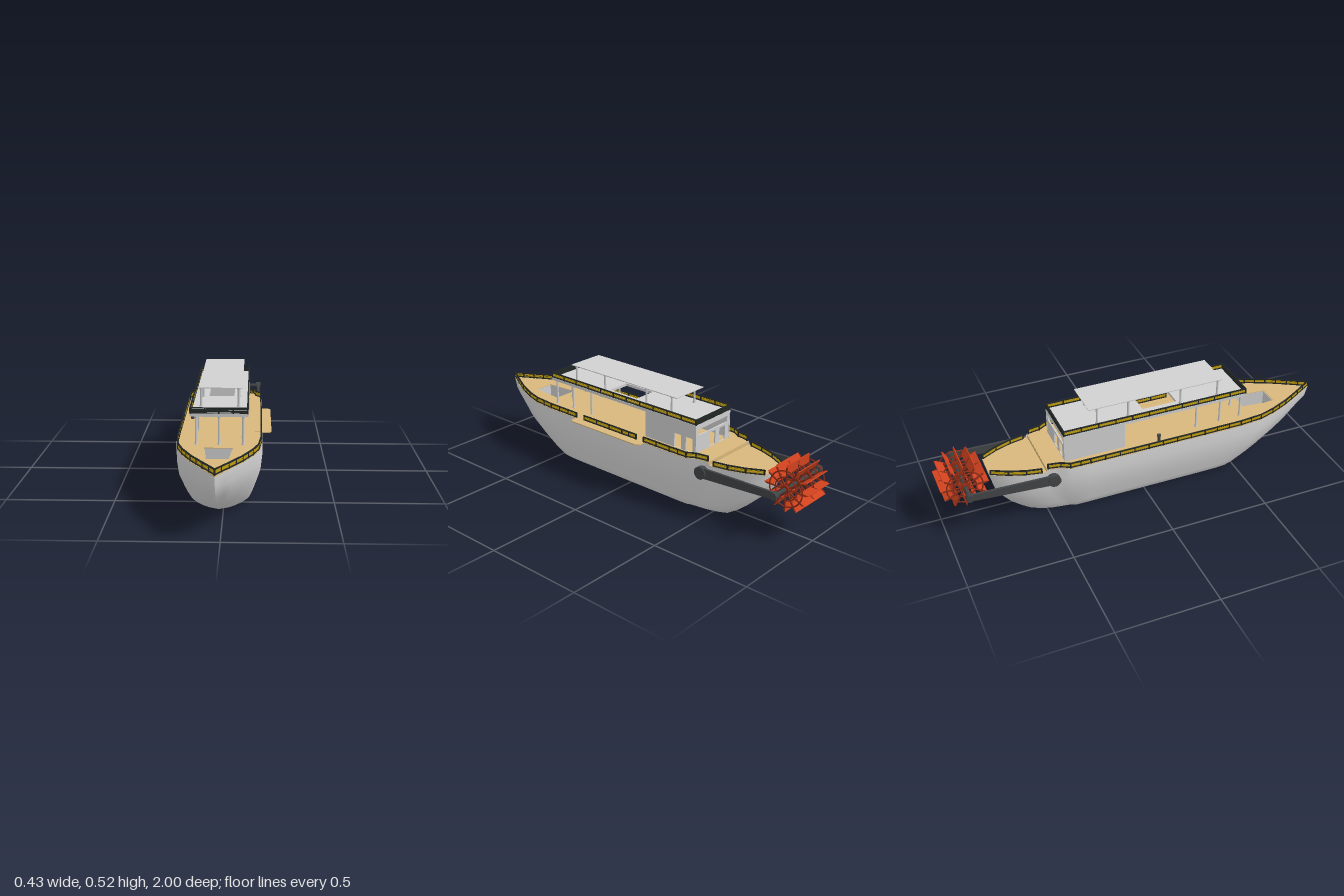
import * as THREE from 'three';

const paint = (name, color, side = THREE.FrontSide) => {
  const m = new THREE.MeshStandardMaterial({ color, side });
  m.name = name;
  return m;
};

// Half width of the deck along z, bow to stern
const OUTLINE = [[1, 0], [0.95, 0.03], [0.9, 0.06], [0.8, 0.115], [0.7, 0.158], [0.62, 0.182], [0.5, 0.193], [0.3, 0.195],
  [0, 0.195], [-0.3, 0.195], [-0.4, 0.193], [-0.44, 0.17], [-0.505, 0.158], [-0.515, 0.157], [-0.6, 0.14], [-0.68, 0.112], [-0.76, 0.07]];
// Hull levels: y, bow z, stern z, half width, bluntness
const LEVELS = [[0, 0.6, -0.56, 0, 1], [0, 0.6, -0.56, 0.125, 0.6], [0.012, 0.63, -0.575, 0.142, 0.6], [0.04, 0.7, -0.62, 0.152, 0.7],
  [0.08, 0.78, -0.67, 0.165, 0.8], [0.155, 0.91, -0.735, 0.188, 0.95], [0.225, 0.985, -0.752, 0.195, 1], [0.28, 1, -0.76, 0.195, 1]];
const DECK = 0.28, AFT = 0.262, STEP = -0.51, WHEEL_Y = 0.245, WHEEL_Z = -0.885;

export function createModel() {
  const hullGrey = paint('hull grey', 0xdadada, THREE.DoubleSide);
  const cabinGrey = paint('cabin grey', 0xd0d0d0, THREE.DoubleSide);
  const tan = paint('deck tan', 0xd8b77c, THREE.DoubleSide);
  const black = paint('rail black', 0x202624);
  const yellow = paint('rail yellow', 0xb8960f);
  const iron = paint('dark iron', 0x414446);
  const red = paint('paddle red', 0xd2421e);
  const darkRed = paint('wheel dark red', 0x8f2d16);

  const model = new THREE.Group();
  const boat = new THREE.Group();
  boat.name = 'boat';
  boat.position.x = -0.0215;
  model.add(boat);

  const add = (name, geo, mat, x = 0, y = 0, z = 0, parent = boat) => {
    const m = new THREE.Mesh(geo, mat);
    m.name = name;
    m.position.set(x, y, z);
    parent.add(m);
    return m;
  };
  const box = (name, mat, w, h, d, x, y, z, parent) => add(name, new THREE.BoxGeometry(w, h, d), mat, x, y, z, parent);
  const shapeOf = pts => new THREE.Shape(pts.map(p => new THREE.Vector2(...p)));
  const rect = (x0, y0, x1, y1) => [[x0, y0], [x1, y0], [x1, y1], [x0, y1]];
  // Flat horizontal plate from [x, z] points, with optional holes
  const plate = (name, mat, pts, y, thick, holes = []) => {
    const s = shapeOf(pts.map(([x, z]) => [x, -z]));
    holes.forEach(h => s.holes.push(shapeOf(h.map(([x, z]) => [x, -z]))));
    const g = new THREE.ExtrudeGeometry(s, { depth: thick, bevelEnabled: false }).rotateX(-Math.PI / 2);
    return add(name, g, mat, 0, y, 0);
  };

  // Hull: each half is a loft from the keel line up to the deck edge
  const stations = [...OUTLINE].reverse();
  const hullHalf = side => {
    const pos = [], idx = [], n = stations.length + 1;
    LEVELS.forEach(([y, bow, stern, half, blunt]) => {
      for (let j = 0; j < n; j++) {
        const [z0, w0] = stations[Math.max(0, j - 1)];
        let z = z0;
        if (z0 > 0.3) z = 0.3 + (z0 - 0.3) * (bow - 0.3) / 0.7;
        if (z0 < -0.3) z = -0.3 + (z0 + 0.3) * (stern + 0.3) / -0.46;
        const w = j === 0 ? 0 : half * Math.pow(w0 / 0.195, blunt);
        pos.push(side * w, z0 < STEP ? Math.min(y, AFT) : y, z);
      }
    });
    for (let i = 0; i < LEVELS.length - 1; i++) for (let j = 0; j < n - 1; j++) {
      const a = i * n + j, b = a + n, c = a + 1, d = b + 1;
      if (side > 0) idx.push(a, b, c, c, b, d);
      else idx.push(a, c, b, c, d, b);
    }
    const g = new THREE.BufferGeometry();
    g.setAttribute('position', new THREE.Float32BufferAttribute(pos, 3));
    g.setIndex(idx);
    g.computeVertexNormals();
    return g;
  };
  for (const s of [1, -1]) add(s > 0 ? 'leftHull' : 'rightHull', hullHalf(s), hullGrey);

  // Decks, with a sunken hatch at the bow
  const ring = pts => [...pts, ...pts.filter(p => p[1] > 0).reverse().map(([z, w]) => [z, -w])].map(([z, w]) => [w * 0.99, z]);
  const hatch = [[-0.064, 0.59], [0.064, 0.59], [0.049, 0.76], [-0.049, 0.76]];
  plate('mainDeck', tan, ring(OUTLINE.filter(p => p[0] > STEP)), DECK - 0.004, 0.005, [hatch]);
  plate('aftDeck', tan, ring(OUTLINE.filter(p => p[0] < -0.5)), AFT - 0.004, 0.005);
  box('deckStep', tan, 0.31, 0.02, 0.004, 0, 0.27, -0.505);
  plate('hatchFloor', tan, hatch, 0.2, 0.004);
  hatch.forEach(([x, z], i) => {
    const [x2, z2] = hatch[(i + 1) % 4];
    const w = box('hatchWall', cabinGrey, 0.003, 0.08, Math.hypot(x2 - x, z2 - z), (x + x2) / 2, 0.238, (z + z2) / 2);
    w.rotation.y = Math.atan2(x2 - x, z2 - z);
  });
  // Boarding platform
  plate('boardingPlatform', tan, [[0.16, -0.145], [0.225, -0.145], [0.2365, -0.13], [0.2365, 0.3], [0.225, 0.315], [0.16, 0.315]], 0.277, 0.005);

  // Railings: dark top and bottom bars, posts, and two middle bars
  const rail = (name, pts, y, mid = yellow) => {
    const g = new THREE.Group();
    g.name = name;
    boat.add(g);
    const bars = [[0.004, 0.004, black], [0.011, 0.005, mid], [0.0185, 0.005, mid], [0.026, 0.005, black]];
    pts.forEach(([x, z], i) => {
      box('railPost', black, 0.007, 0.028, 0.007, x, y + 0.014, z, g);
      if (i === pts.length - 1) return;
      const [x2, z2] = pts[i + 1], len = Math.hypot(x2 - x, z2 - z);
      const seg = new THREE.Group();
      seg.position.set((x + x2) / 2, y, (z + z2) / 2);
      seg.rotation.y = Math.atan2(x2 - x, z2 - z);
      g.add(seg);
      bars.forEach(([by, h, m]) => box('railBar', m, m === black ? 0.007 : 0.004, h, len, 0, by, 0, seg));
      const count = Math.floor(len / 0.09);
      for (let k = 1; k <= count; k++) box('railPost', black, 0.006, 0.028, 0.006, 0, 0.014, len * (k / (count + 1) - 0.5), seg);
    });
  };
  const edge = (s, from, to) => {
    const widthAt = z => {
      const i = Math.max(1, OUTLINE.findIndex(p => p[0] <= z));
      const [za, wa] = OUTLINE[i - 1], [zb, wb] = OUTLINE[i];
      return wa + (wb - wa) * (z - za) / (zb - za);
    };
    const zs = [from, ...OUTLINE.map(p => p[0]).filter(z => z < from && z > to), to];
    return zs.map(z => [s * Math.max(0, widthAt(z) - 0.006), z]);
  };
  rail('leftBowRail', edge(1, 0.994, 0.315), 0.281);
  rail('leftMiddleRail', edge(1, 0.26, -0.09), 0.281);
  rail('leftRearRail', edge(1, -0.14, -0.5), 0.281);
  rail('rightRail', edge(-1, 0.994, -0.5), 0.281);
  for (const s of [1, -1]) rail('aftRail', edge(s, -0.53, -0.755), 0.26);

  // Upper deck with a stair opening and its railing
  plate('upperDeck', cabinGrey, rect(-0.1305, -0.41, 0.1305, 0.55), 0.411, 0.014, [rect(-0.06, 0.02, 0.06, 0.2)]);
  for (const s of [1, -1]) rail('upperSideRail', [[s * 0.127, 0.547], [s * 0.127, -0.407]], 0.424);
  for (const z of [0.547, -0.407]) rail('upperEndRail', [[-0.127, z], [0, z], [0.127, z]], 0.424, black);

  // Cabin walls with openings
  const wall = (name, w, holes) => {
    const s = shapeOf(rect(-w / 2, 0, w / 2, 0.132));
    holes.forEach(h => s.holes.push(shapeOf(rect(...h))));
    return add(name, new THREE.ExtrudeGeometry(s, { depth: 0.006, bevelEnabled: false }), cabinGrey, 0, DECK, 0);
  };
  wall('cabinFrontWall', 0.26, []).position.z = -0.106;
  wall('cabinRearWall', 0.26, [[-0.11, 0.088, 0.11, 0.118], [-0.095, 0.004, -0.05, 0.075], [-0.02, 0.004, 0.025, 0.075]]).position.z = -0.408;
  const leftWall = wall('cabinLeftWall', 0.31, [[0.025, 0.002, 0.067, 0.072], [0.095, 0.002, 0.135, 0.072]]);
  leftWall.rotation.y = Math.PI / 2;
  leftWall.position.set(0.124, DECK, -0.255);
  const rightWall = wall('cabinRightWall', 0.31, []);
  rightWall.rotation.y = Math.PI / 2;
  rightWall.position.set(-0.13, DECK, -0.255);
  box('cabinDoor', cabinGrey, 0.045, 0.075, 0.004, 0.003, DECK + 0.038, -0.099);
  box('cabinWindow', cabinGrey, 0.152, 0.026, 0.004, 0.003, 0.39, -0.099);

  // Round posts with a foot and a capital
  const post = (name, x, y0, y1, z) => {
    const h = y1 - y0;
    const profile = [[0.008, 0], [0.008, 0.006], [0.0052, 0.01], [0.0052, h - 0.012], [0.008, h - 0.006], [0.008, h]];
    add(name, new THREE.LatheGeometry(profile.map(p => new THREE.Vector2(...p)), 12), cabinGrey, x, y0, z);
  };
  for (const x of [-0.102, 0, 0.108]) post('deckPost', x, DECK, 0.412, 0.535);
  for (const s of [-1, 1]) {
    for (const z of [0.42, 0.29]) post('deckPost', s * 0.105, DECK, 0.412, z);
    for (const z of [0.41, 0.21, -0.065, -0.225]) post('canopyPost', s * 0.085, 0.424, 0.512, z);
  }
  box('canopy', cabinGrey, 0.198, 0.004, 0.7, 0.003, 0.514, 0.08);

  // Mooring bollard
  add('bollard', new THREE.CylinderGeometry(0.008, 0.008, 0.034, 12), iron, -0.148, 0.297, 0.07);
  add('bollardCap', new THREE.CylinderGeometry(0.01, 0.01, 0.008, 12), iron, -0.148, 0.314, 0.07);

  // Arms carrying the paddle wheel
  const across = (r, len, sides = 20) => new THREE.CylinderGeometry(r, r, len, sides).rotateZ(Math.PI / 2);
  const armShape = shapeOf([[0.48, 0.2], [0.48, 0.252], [0.885, 0.262], [0.885, 0.228]]);
  for (const s of [-1, 1]) {
    const arm = new THREE.ExtrudeGeometry(armShape, { depth: 0.012, bevelEnabled: false }).rotateY(Math.PI / 2);
    add('wheelArm', arm, iron, s * 0.176 - 0.006, 0, 0);
    add('armPivot', across(0.031, 0.03), iron, s * 0.174, 0.226, -0.48);
    add('armBearing', across(0.018, 0.026), iron, s * 0.176, WHEEL_Y, WHEEL_Z);
  }
  add('axle', across(0.009, 0.36), iron, 0, WHEEL_Y, WHEEL_Z);

  // Paddle wheel: rims, spokes and radial planks
  const wheel = new THREE.Group();
  wheel.name = 'paddleWheel';
  wheel.position.set(0, WHEEL_Y, WHEEL_Z);
  boat.add(wheel);
  for (const x of [-0.088, 0, 0.088]) {
    add('wheelHub', across(0.02, 0.018), darkRed, x, 0, 0, wheel);
    for (const r of [0.055, 0.086]) add('wheelRim', new THREE.TorusGeometry(r, 0.0035, 6, 36).rotateY(Math.PI / 2), darkRed, x, 0, 0, wheel);
  }
  for (let i = 0; i < 12; i++) {
    const blade = new THREE.Group();
    blade.rotation.x = i * Math.PI / 6;
    wheel.add(blade);
    box('paddlePlank', red, 0.17, 0.045, 0.004, 0, 0.0925, 0, blade);
    for (const x of [-0.088, 0, 0.088]) box('wheelSpoke', darkRed, 0.006, 0.1, 0.006, x, 0.055, 0, blade);
  }
  return model;
}
